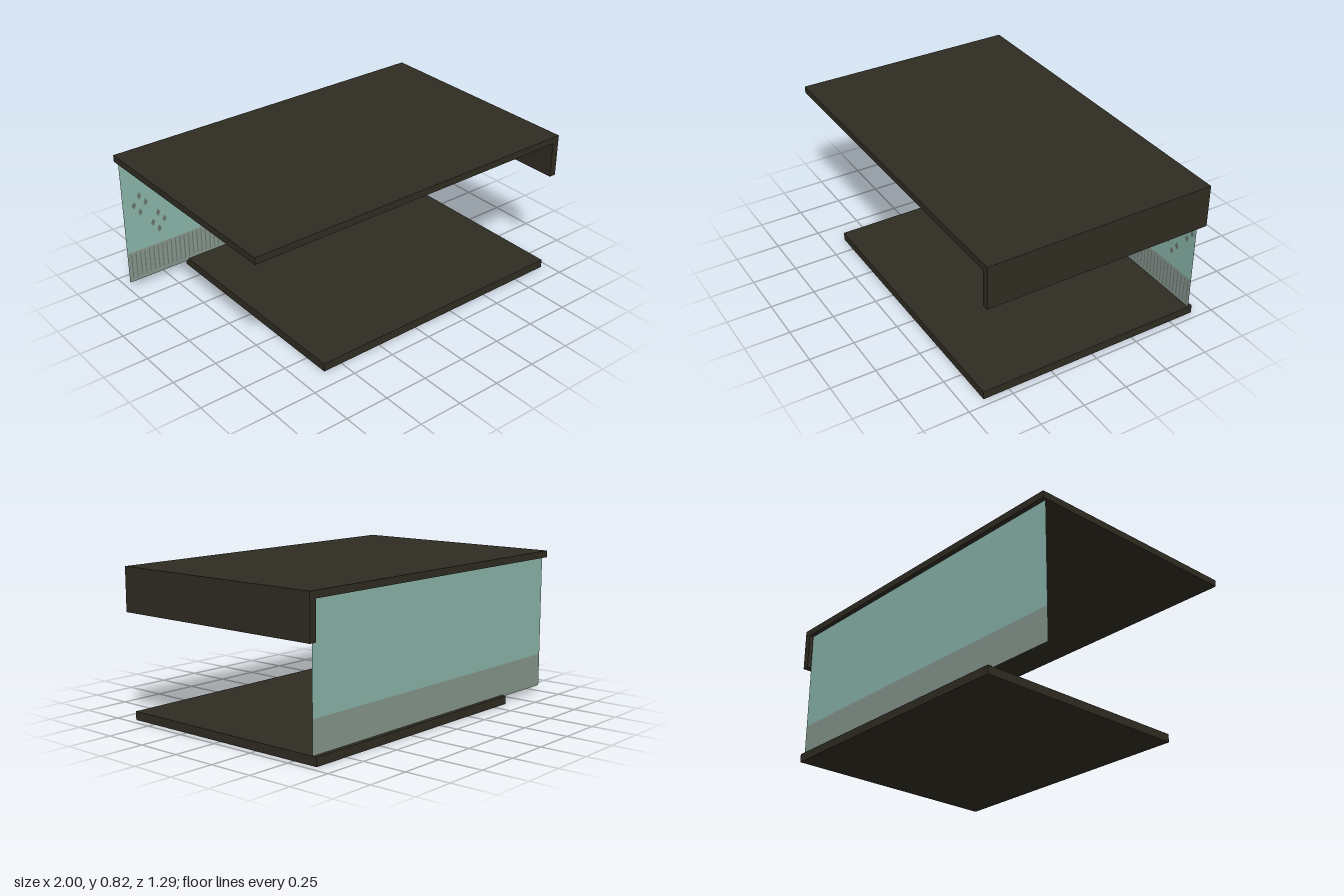
import * as THREE from 'three';

export function createModel() {
  const model = new THREE.Group();
  model.name = 'shelter';

  const mat = (name, color, side = THREE.FrontSide) => {
    const m = new THREE.MeshStandardMaterial({ color, side });
    m.name = name;
    return m;
  };
  const dark = mat('dark brown', 0x2f2c22);
  const teal = mat('teal', 0x8ab5aa, THREE.DoubleSide);
  const sage = mat('grey green', 0x86978d, THREE.DoubleSide);
  const grey = mat('ornament grey', 0x6c7570);

  const add = (name, geometry, material, x, y, z, parent = model) => {
    const mesh = new THREE.Mesh(geometry, material);
    mesh.name = name;
    mesh.position.set(x, y, z);
    parent.add(mesh);
    return mesh;
  };
  // Box given by its x and y limits, running the full depth
  const depth = 1.29;
  const slab = (name, x0, x1, y0, y1) =>
    add(name, new THREE.BoxGeometry(x1 - x0, y1 - y0, depth), dark, (x0 + x1) / 2, (y0 + y1) / 2, 0);

  slab('roof', -1, 1, 0.787, 0.825);
  slab('roofSidePanel', 0.96, 1, 0.585, 0.787);
  slab('floor', -0.61, 0.96, 0, 0.047);

  // Thin back wall: plain upper sheet and lower band
  const wallZ = -0.62, x0 = -0.99, x1 = 0.96;
  const sheet = (name, y0, y1, material) =>
    add(name, new THREE.PlaneGeometry(x1 - x0, y1 - y0), material, (x0 + x1) / 2, (y0 + y1) / 2, wallZ);
  sheet('wallUpper', 0.222, 0.787, teal);
  sheet('wallLowerBand', 0.037, 0.222, sage);

  // Narrow upright strips on the lower band
  const strips = new THREE.Group();
  strips.name = 'bandStrips';
  model.add(strips);
  const stripGeo = new THREE.PlaneGeometry(0.007, 0.15);
  const count = 69;
  for (let i = 0; i < count; i++) {
    const x = -0.968 + (i * 1.91) / (count - 1);
    add('strip', stripGeo, grey, x, 0.14, wallZ + 0.004, strips);
  }

  // Diamond ornaments: five rosettes of four clusters of four diamonds
  const diamond = new THREE.ShapeGeometry(new THREE.Shape([
    new THREE.Vector2(0, -0.023), new THREE.Vector2(0.014, 0),
    new THREE.Vector2(0, 0.023), new THREE.Vector2(-0.014, 0),
  ]));
  const cross = (dx, dy) => [[0, dy], [0, -dy], [dx, 0], [-dx, 0]];
  for (let i = -2; i <= 2; i++) {
    const rosette = new THREE.Group();
    rosette.name = 'diamondRosette';
    rosette.position.set(0.005 + i * 0.393, 0.506, wallZ + 0.004);
    model.add(rosette);
    for (const [cx, cy] of cross(0.107, 0.141)) {
      for (const [dx, dy] of cross(0.036, 0.05)) {
        add('diamond', diamond, grey, cx + dx, cy + dy, 0, rosette);
      }
    }
  }
  return model;
}
